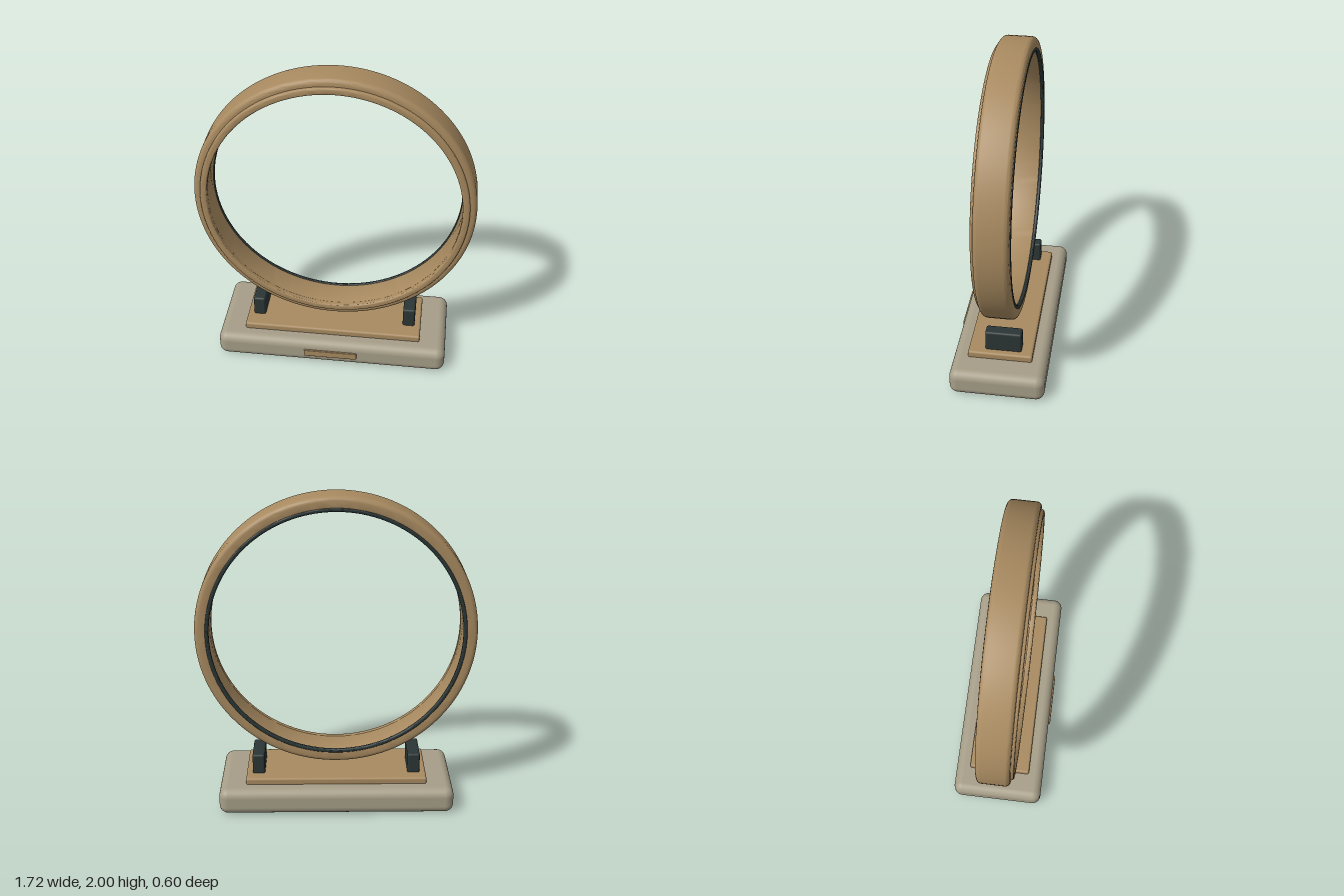
import * as THREE from 'three';
import { toCreasedNormals } from 'three/addons/utils/BufferGeometryUtils.js';
import { RoundedBoxGeometry } from 'three/addons/geometries/RoundedBoxGeometry.js';

const wood = new THREE.MeshStandardMaterial({ color: 0xa88a60 });
wood.name = 'bronze';
const stone = new THREE.MeshStandardMaterial({ color: 0xa69e88 });
stone.name = 'stone';
const dark = new THREE.MeshStandardMaterial({ color: 0x2b3535 });
dark.name = 'dark';

// Hoop around z with a rounded rectangular section
function hoop(rIn, rOut, zBack, zFront, inner, outer) {
  const pts = [];
  const corner = (r, z, rad, start) => {
    for (let i = 0; i <= 6; i++) {
      const a = start + (i / 6) * Math.PI / 2;
      pts.push(new THREE.Vector2(r + rad * Math.cos(a), z + rad * Math.sin(a)));
    }
  };
  corner(rOut - outer, zBack + outer, outer, -Math.PI / 2);
  corner(rOut - outer, zFront - outer, outer, 0);
  corner(rIn + inner, zFront - inner, inner, Math.PI / 2);
  corner(rIn + inner, zBack + inner, inner, Math.PI);
  pts.push(pts[0].clone());
  const geo = new THREE.LatheGeometry(pts, 128);
  geo.rotateX(Math.PI / 2);
  return toCreasedNormals(geo, 0.6);
}

export function createModel() {
  const group = new THREE.Group();
  const add = (name, geo, mat, x, y, z) => {
    const mesh = new THREE.Mesh(geo, mat);
    mesh.name = name;
    mesh.position.set(x, y, z);
    group.add(mesh);
  };

  // Stand
  add('base', new RoundedBoxGeometry(1.48, 0.17, 0.588, 5, 0.055), stone, 0, 0.085, -0.006);
  add('topPlate', new RoundedBoxGeometry(1.144, 0.05, 0.4, 3, 0.014), wood, 0, 0.187, -0.006);
  add('frontPlaque', new RoundedBoxGeometry(0.344, 0.048, 0.03, 2, 0.005), wood, 0, 0.087, 0.284);

  // Ring supports
  for (const side of [-1, 1]) {
    add(side > 0 ? 'leftSupport' : 'rightSupport',
      new RoundedBoxGeometry(0.078, 0.14, 0.226, 3, 0.014), dark, side * 0.493, 0.272, -0.022);
  }

  // Ring with a raised front lip and a dark seal at the back
  const y = 1.138;
  add('ring', hoop(0.778, 0.862, -0.104, 0.098, 0.012, 0.03), wood, 0, y, 0);
  add('frontLip', hoop(0.776, 0.82, 0.08, 0.117, 0.01, 0.014), wood, 0, y, 0);
  add('backSeal', hoop(0.772, 0.798, -0.108, -0.084, 0.01, 0.01), dark, 0, y, 0);
  return group;
}
